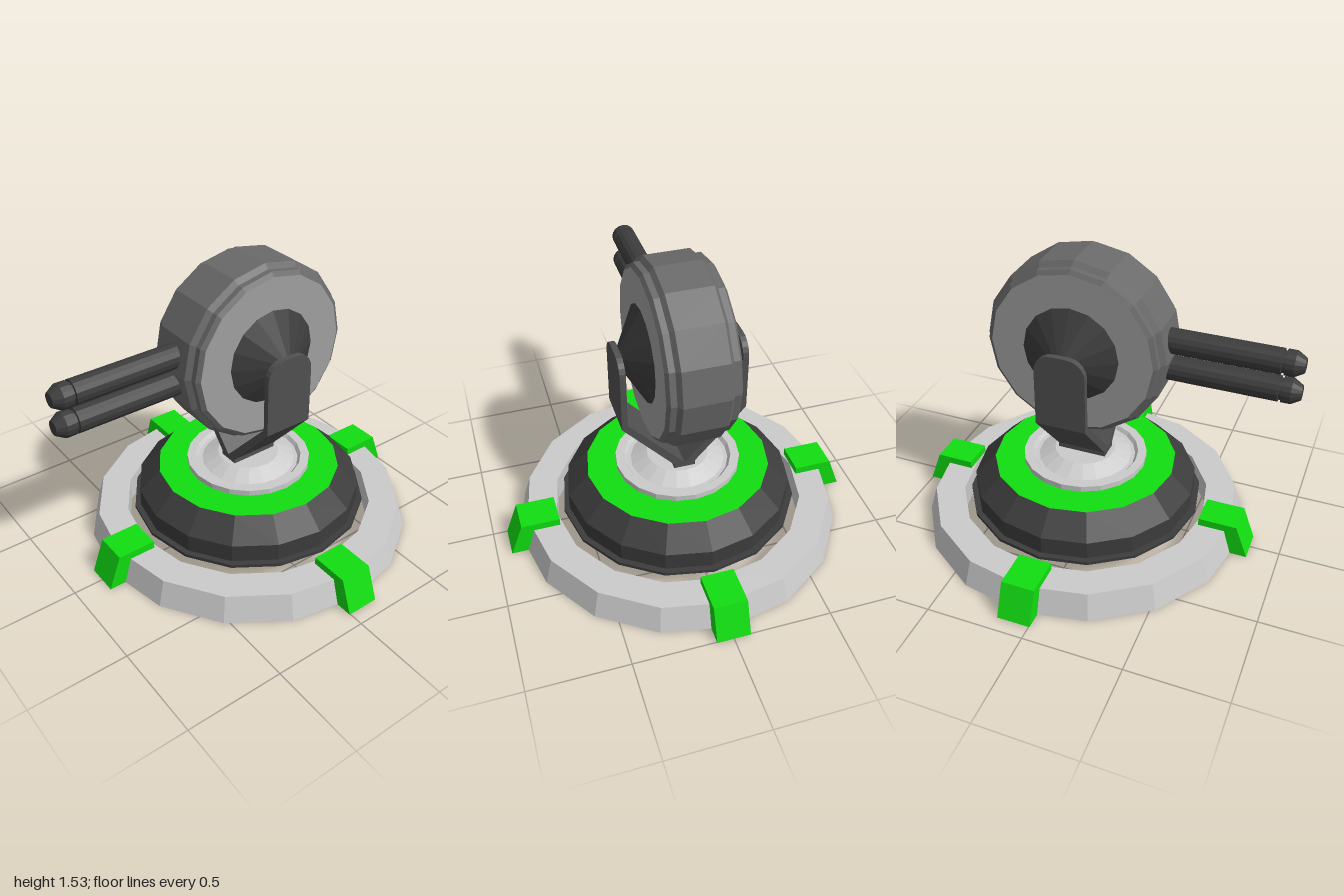
import * as THREE from 'three';

const CZ = -0.08; // turret axis
const mat = (color, side = THREE.FrontSide) =>
  new THREE.MeshStandardMaterial({ color, flatShading: true, side });
const light = mat(0xcccccc);
const green = mat(0x11dd11);
const dark = mat(0x3c3c3c);
const darkShell = mat(0x3c3c3c, THREE.DoubleSide);
const steel = mat(0x6a6a6a);
const face = mat(0xa0a0a0);
const bracketMat = mat(0x505050);

function add(parent, name, geometry, material) {
  const mesh = new THREE.Mesh(geometry, material);
  mesh.name = name;
  parent.add(mesh);
  return mesh;
}

const lathe = (pts, sides = 16) =>
  new THREE.LatheGeometry(pts.map(([r, y]) => new THREE.Vector2(r, y)), sides);

// Outline extruded along z, centred on z = 0
function slab(pts, depth) {
  const shape = new THREE.Shape(pts.map(([x, y]) => new THREE.Vector2(x, y)));
  return new THREE.ExtrudeGeometry(shape, { depth, bevelEnabled: false }).translate(0, 0, -depth / 2);
}

function buildBase() {
  const base = new THREE.Group();
  base.name = 'base';
  add(base, 'groundRing', lathe([[0.66, 0], [0.855, 0], [0.815, 0.135], [0.66, 0.135], [0.66, 0]]), light);

  // Four clamps over the ring
  for (let i = 0; i < 4; i++) {
    const clamp = add(base, 'clamp',
      slab([[0.66, 0], [0.925, 0], [0.86, 0.175], [0.66, 0.175]], 0.17), green);
    clamp.rotation.y = i * Math.PI / 2;
  }

  // Hollow turntable
  add(base, 'turntable', lathe([[0.59, 0.138], [0.62, 0.138], [0.62, 0.155], [0.59, 0.155],
    [0.59, 0.25], [0.48, 0.355]]), darkShell);
  const disc = add(base, 'turntableTop', new THREE.CircleGeometry(0.48, 16).rotateX(-Math.PI / 2),
    mat(0x11dd11, THREE.DoubleSide));
  disc.position.y = 0.355;

  // Dished mounting plate
  add(base, 'mountPlate', lathe([[0.325, 0.358], [0.325, 0.388], [0.28, 0.388], [0.265, 0.368],
    [0.245, 0.368], [0.185, 0.398], [0.16, 0.41], [0, 0.41]], 20), light);
  return base;
}

function buildBracket() {
  const bracket = new THREE.Group();
  bracket.name = 'bracket';
  // V-shaped fork
  add(bracket, 'fork', slab([[-0.055, 0.4], [0.055, 0.4], [0.055, 0.435], [0.32, 0.73], [0.32, 0.75],
    [0.29, 0.75], [0, 0.437], [-0.29, 0.75], [-0.32, 0.75], [-0.32, 0.73], [-0.055, 0.435]], 0.26), bracketMat);

  // Upright arms with rounded tops
  const arm = new THREE.Shape();
  arm.moveTo(-0.13, 0.74);
  arm.lineTo(0.13, 0.74);
  arm.lineTo(0.13, 1.03);
  arm.bezierCurveTo(0.13, 1.08, 0.09, 1.12, 0.04, 1.12);
  arm.lineTo(-0.04, 1.12);
  arm.bezierCurveTo(-0.09, 1.12, -0.13, 1.08, -0.13, 1.03);
  arm.closePath();
  const geo = new THREE.ExtrudeGeometry(arm, { depth: 0.03, bevelEnabled: false, curveSegments: 5 })
    .translate(0, 0, -0.015).rotateY(Math.PI / 2);
  for (const s of [-1, 1]) add(bracket, s > 0 ? 'leftArm' : 'rightArm', geo, bracketMat).position.x = s * 0.305;
  return bracket;
}

function buildHead() {
  const head = new THREE.Group();
  head.name = 'gunHead';
  head.position.y = 1.068;

  // Drum lying on the x axis
  const half = [[0.415, 0.18], [0.437, 0.165], [0.437, 0.135], [0.4625, 0.115]];
  const tread = [...half.map(([r, x]) => [r, -x]), ...half.slice().reverse()];
  add(head, 'drum', lathe(tread).rotateZ(-Math.PI / 2), steel);

  // Side plates and hub cones
  for (const s of [-1, 1]) {
    const side = new THREE.Group();
    side.name = s > 0 ? 'leftSide' : 'rightSide';
    side.rotation.z = -s * Math.PI / 2;
    add(side, 'sidePlate', lathe([[0.415, 0.18], [0.245, 0.18]]), face);
    add(side, 'hubCone', lathe([[0.245, 0.18], [0.05, 0.292], [0, 0.292]]), dark);
    head.add(side);
  }

  // Twin barrels
  const barrel = lathe([[0.063, 0.35], [0.063, 0.975], [0.053, 0.978], [0.053, 0.988], [0.063, 0.99],
    [0.063, 1.035], [0.036, 1.08], [0, 1.08]]).rotateX(Math.PI / 2);
  for (const y of [0.073, -0.073]) add(head, 'barrel', barrel, dark).position.y = y;
  return head;
}

export function createModel() {
  const model = new THREE.Group();
  model.name = 'turret';
  model.add(buildBase(), buildBracket(), buildHead());
  for (const part of model.children) part.position.z = CZ;
  return model;
}
